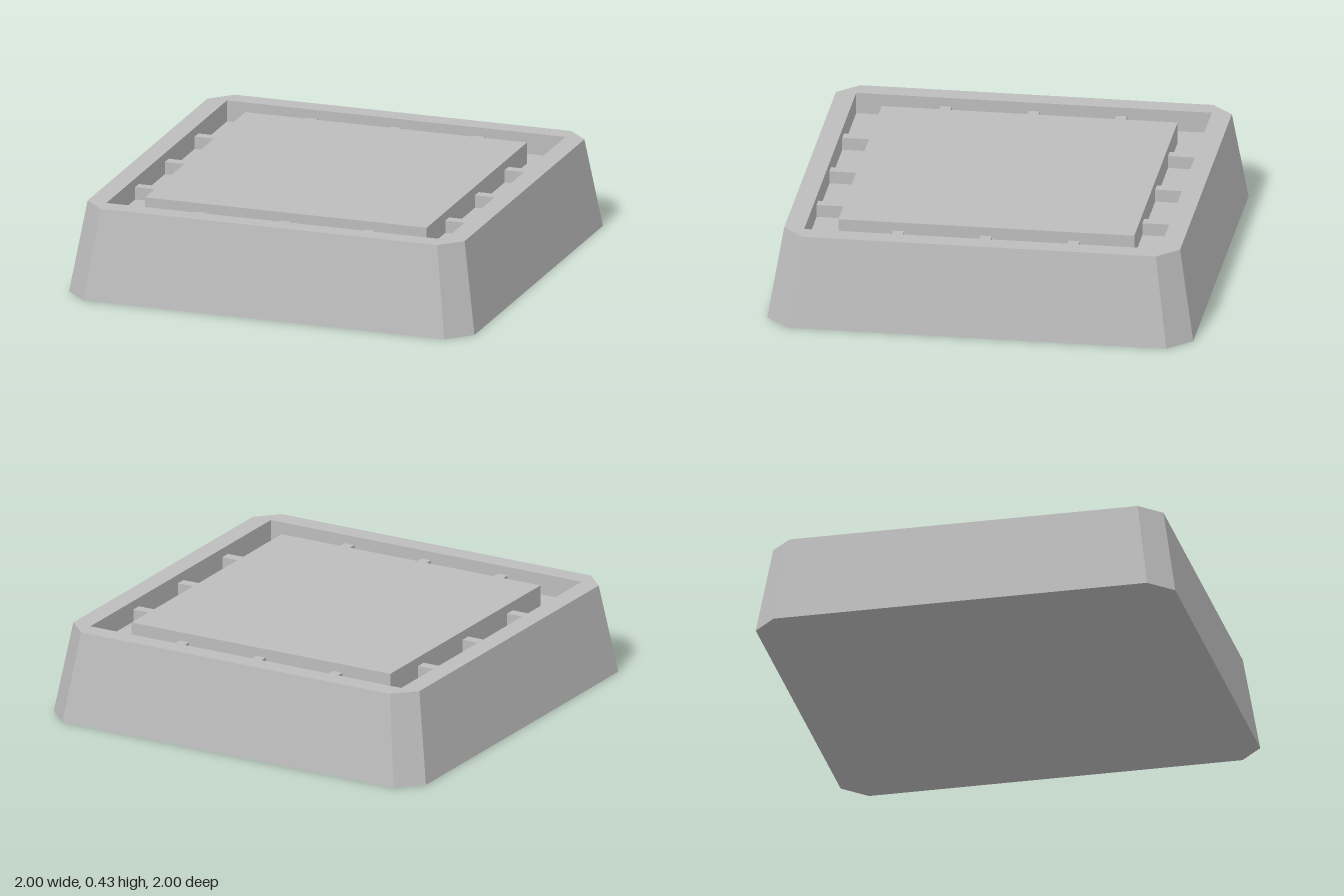
import * as THREE from 'three';
import { mergeGeometries } from 'three/addons/utils/BufferGeometryUtils.js';

const TOP = 0.432, FLOOR = 0.33, INNER = 0.835, PLATE = 0.695;

// Chamfered square outline as [x, z] points, counter-clockwise from above
const octagon = (h, c) => [[c, h], [h, c], [h, -c], [c, -h], [-c, -h], [-h, -c], [-h, c], [-c, h]];
const square = (h) => [[h, h], [h, -h], [-h, -h], [-h, h]];

// Wall joining two outlines at different heights
function band(low, yLow, high, yHigh) {
  const pos = [];
  low.forEach((p, i) => {
    const j = (i + 1) % low.length;
    const a = [p[0], yLow, p[1]], b = [low[j][0], yLow, low[j][1]];
    const c = [high[j][0], yHigh, high[j][1]], d = [high[i][0], yHigh, high[i][1]];
    pos.push(...a, ...b, ...c, ...a, ...c, ...d);
  });
  const g = new THREE.BufferGeometry();
  g.setAttribute('position', new THREE.Float32BufferAttribute(pos, 3));
  g.computeVertexNormals();
  return g;
}

// Flat horizontal face, optionally with a hole
function cap(outline, y, up, hole) {
  const toVec = ([x, z]) => new THREE.Vector2(x, -z);
  const shape = new THREE.Shape(outline.map(toVec));
  if (hole) shape.holes.push(new THREE.Path(hole.map(toVec)));
  const g = new THREE.ShapeGeometry(shape).toNonIndexed();
  g.deleteAttribute('uv');
  return g.rotateX(up ? -Math.PI / 2 : Math.PI / 2).translate(0, y, 0);
}

export function createModel() {
  const model = new THREE.Group();
  const grey = new THREE.MeshStandardMaterial({ color: 0xbcbcbc });
  grey.name = 'grey';
  const add = (name, geometry, x = 0, y = 0, z = 0) => {
    const mesh = new THREE.Mesh(geometry, grey);
    mesh.name = name;
    mesh.position.set(x, y, z);
    model.add(mesh);
  };

  // Tapered tray with a square recess
  const foot = octagon(1, 0.89), rim = octagon(0.93, 0.83), recess = square(INNER);
  const inward = [...recess].reverse();
  add('tray', mergeGeometries([
    band(foot, 0, rim, TOP),
    cap(foot, 0, false),
    cap(rim, TOP, true, recess),
    band(inward, FLOOR, inward, TOP),
    cap(recess, FLOOR, true),
  ]));

  // Raised centre plate, level with the rim
  add('centrePlate', new THREE.BoxGeometry(PLATE * 2, TOP - FLOOR, PLATE * 2), 0, (TOP + FLOOR) / 2, 0);

  // Small bridges across the groove, three on each side
  const tabTop = 0.39, length = INNER - PLATE, mid = (INNER + PLATE) / 2;
  const height = tabTop - FLOOR, y = FLOOR + height / 2;
  for (const side of [-1, 1]) {
    for (const t of [-0.412, 0, 0.412]) {
      add('grooveTab', new THREE.BoxGeometry(0.052, height, length), t, y, side * mid);
      add('grooveTab', new THREE.BoxGeometry(length, height, 0.052), side * mid, y, t);
    }
  }
  return model;
}
